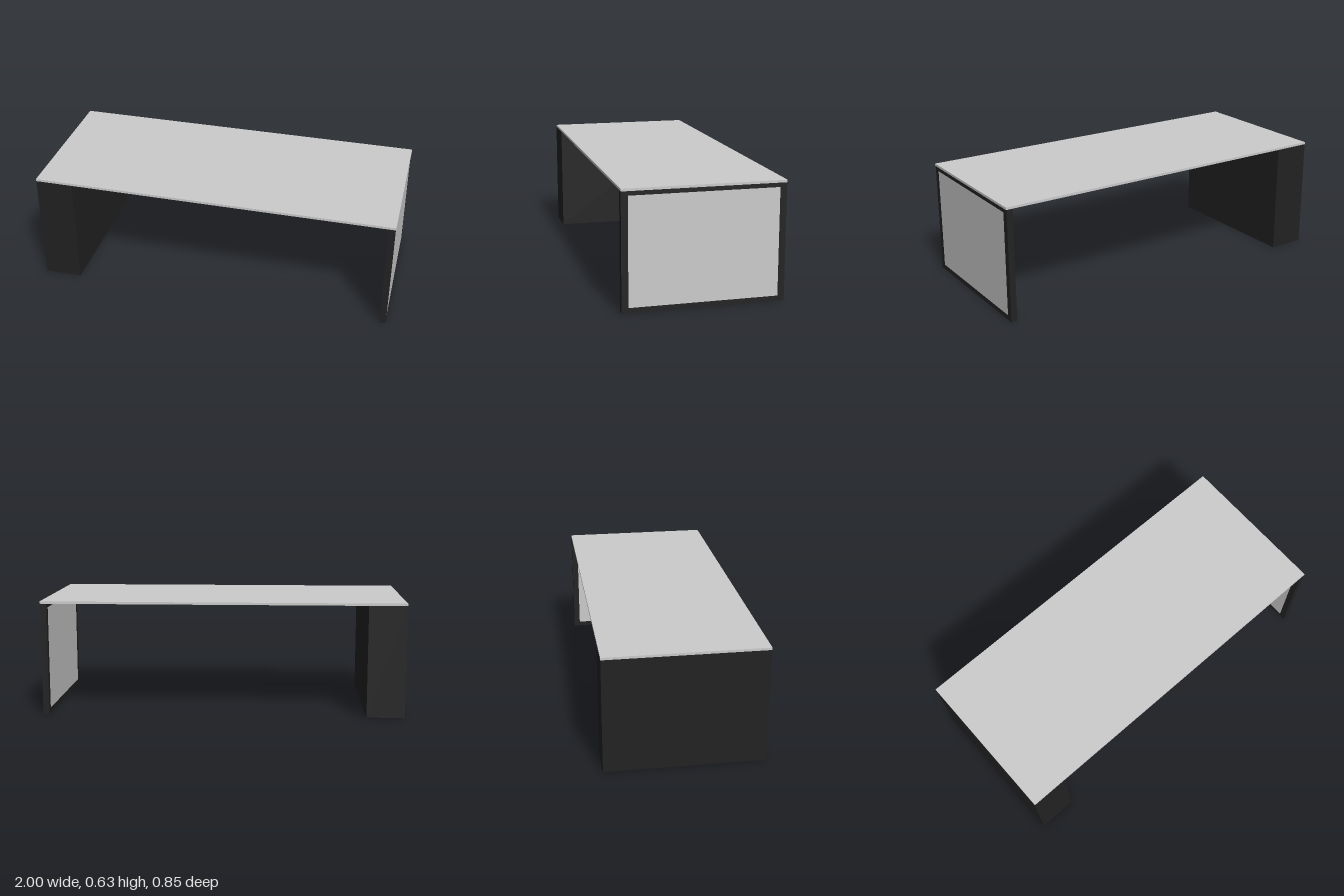
import * as THREE from 'three';

const grey = new THREE.MeshStandardMaterial({ color: 0xcccccc });
const dark = new THREE.MeshStandardMaterial({ color: 0x222222 });

const HALF_DEPTH = 0.424; // half the desk's depth along z
const TOP = 0.63, UNDER = 0.617; // upper and lower face of the tabletop

// Box given by its minimum and maximum corners
function box(name, material, [x0, y0, z0], [x1, y1, z1]) {
  const mesh = new THREE.Mesh(new THREE.BoxGeometry(x1 - x0, y1 - y0, z1 - z0), material);
  mesh.position.set((x0 + x1) / 2, (y0 + y1) / 2, (z0 + z1) / 2);
  mesh.name = name;
  return mesh;
}

// Counter-clockwise rectangle, for the frame outline and its opening
function rectangle(PathType, halfWidth, y0, y1) {
  return new PathType([[-1, y0], [1, y0], [1, y1], [-1, y1]]
    .map(([s, y]) => new THREE.Vector2(s * halfWidth, y)));
}

export function createModel() {
  const desk = new THREE.Group();
  desk.name = 'desk';

  // Thin tabletop
  desk.add(box('tabletop', grey, [-1, UNDER, -HALF_DEPTH], [1, TOP, HALF_DEPTH]));

  // Solid pedestal under one end
  desk.add(box('pedestal', dark, [-0.999, 0, -HALF_DEPTH], [-0.79, UNDER, HALF_DEPTH]));

  // Open rectangular leg frame under the other end
  const opening = { half: 0.389, y0: 0.027, y1: 0.594 };
  const outline = rectangle(THREE.Shape, HALF_DEPTH, 0, UNDER);
  outline.holes.push(rectangle(THREE.Path, opening.half, opening.y0, opening.y1));
  const inner = 0.963, outer = 0.997;
  const frame = new THREE.Mesh(
    new THREE.ExtrudeGeometry(outline, { depth: outer - inner, bevelEnabled: false }), dark);
  frame.rotation.y = Math.PI / 2;
  frame.position.x = inner;
  frame.name = 'legFrame';
  desk.add(frame);

  // Panel filling the frame, flush on both sides
  desk.add(box('framePanel', grey,
    [inner, opening.y0, -opening.half], [outer, opening.y1, opening.half]));

  return desk;
}
